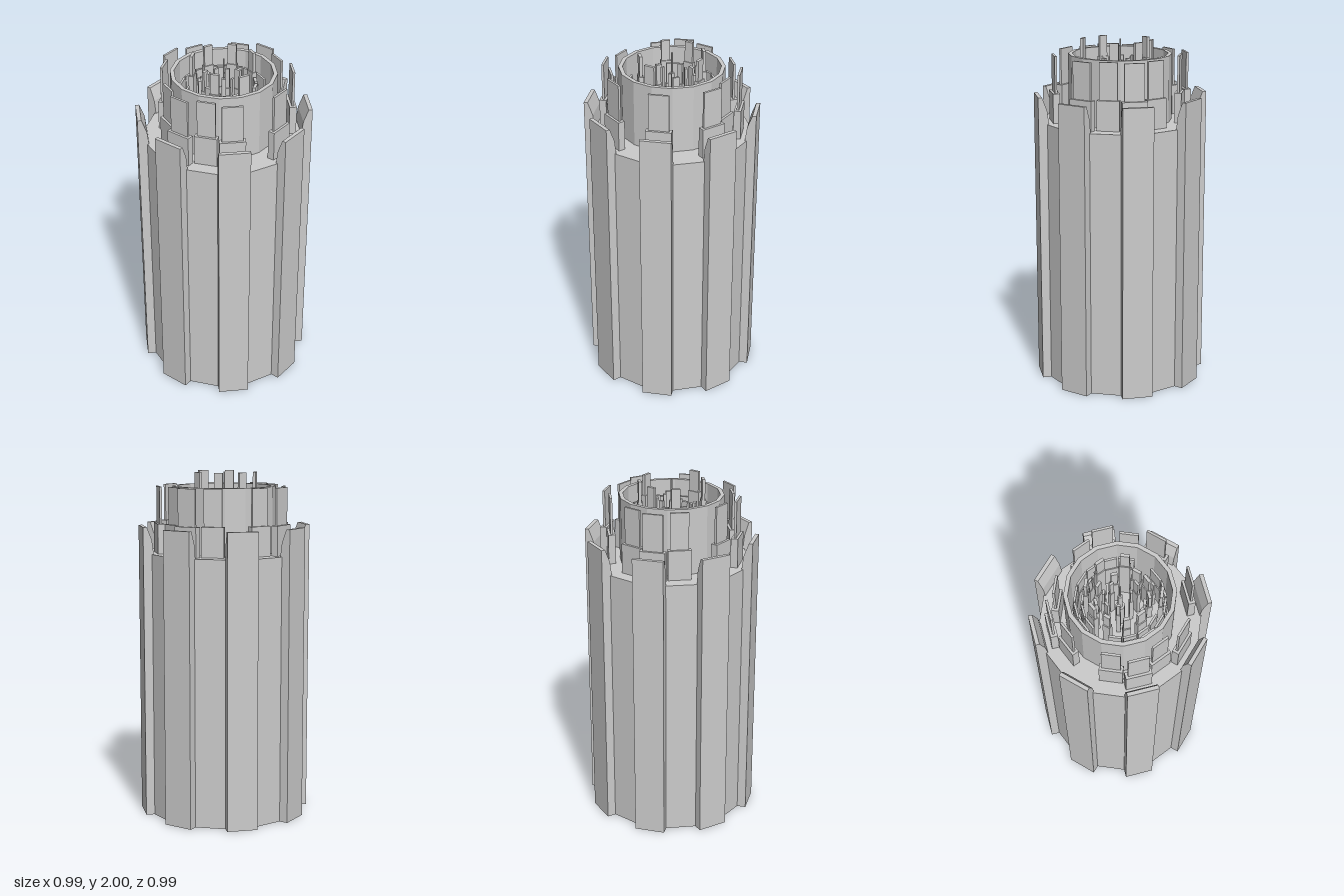
import * as THREE from 'three';

const SIDES = 16;
const STEP = (Math.PI * 2) / SIDES;
const DECK = 1.54;
const mat = new THREE.MeshStandardMaterial({ color: 0xcccccc, flatShading: true, side: THREE.DoubleSide });

const apothem = (r) => r * Math.cos(STEP / 2);
const chord = (r) => 2 * r * Math.sin(STEP / 2);

function add(parent, name, geometry) {
  const mesh = new THREE.Mesh(geometry, mat);
  mesh.name = name;
  parent.add(mesh);
  return mesh;
}

// Box standing on face k of a 16-sided ring of radius r, growing outward by t
function slab(parent, name, k, r, offset, t, width, y0, y1) {
  const g = new THREE.BoxGeometry(width, y1 - y0, t);
  g.translate(0, (y0 + y1) / 2, apothem(r) + offset + t / 2);
  add(parent, name, g).rotation.y = (k + 0.5) * STEP;
}

// Full-height outer rib with an inward bevel at its top
function rib(parent, k) {
  const a = apothem(0.447), w = chord(0.447);
  const profile = new THREE.Shape([
    [a - 0.01, 0], [a + 0.05, 0], [a + 0.05, 1.695], [a + 0.028, 1.695], [a, 1.62], [a - 0.01, 1.54],
  ].map(([x, y]) => new THREE.Vector2(x, y)));
  const g = new THREE.ExtrudeGeometry(profile, { depth: w, bevelEnabled: false });
  g.translate(0, 0, -w / 2);
  add(parent, 'outerRib', g).rotation.y = (k + 0.5) * STEP - Math.PI / 2;
}

// Low block with a narrower, taller plate rising from its middle
function steppedPanel(parent, name, k, r, t, blockTop, plateTop, wScale, plateT, plateScale) {
  const w = chord(r) * wScale;
  slab(parent, name + 'Base', k, r, 0, t, w, DECK - 0.01, blockTop);
  slab(parent, name + 'Plate', k, r, (t - plateT) / 2, plateT, w * plateScale, blockTop - 0.01, plateTop);
}

export function createModel() {
  const model = new THREE.Group();
  model.name = 'ribbedTower';

  // Main drum
  const drum = new THREE.CylinderGeometry(0.447, 0.447, DECK, SIDES);
  drum.translate(0, DECK / 2, 0);
  add(model, 'drum', drum);

  const ribs = new THREE.Group();
  ribs.name = 'outerRibs';
  model.add(ribs);
  for (let k = 0; k < SIDES; k += 2) rib(ribs, k);

  // Upright panels on the deck, alternating between two radii
  const panels = new THREE.Group();
  panels.name = 'deckPanels';
  model.add(panels);
  for (const k of [0, 2, 3, 4, 5, 7, 8, 9, 11, 12, 13, 14]) {
    steppedPanel(panels, 'deckPanel', k, k % 2 ? 0.33 : 0.368, 0.04, 1.71, 1.92, 1, 0.013, 0.8);
  }

  // Open central crown
  const wall = [[0.297, DECK - 0.01], [0.297, 1.92], [0.274, 1.92], [0.274, DECK - 0.01]];
  add(model, 'crownWall', new THREE.LatheGeometry(wall.map(([x, y]) => new THREE.Vector2(x, y)), SIDES));

  // Broken rings of thin plates inside the crown
  const core = new THREE.Group();
  core.name = 'crownCore';
  model.add(core);
  for (const k of [0, 1, 3, 4, 5, 6, 7, 8, 9, 12, 13, 14, 15]) {
    steppedPanel(core, 'wideRing', k, 0.232, 0.022, 1.72, 1.83, 1, 0.012, 0.96);
  }
  for (const k of [1, 3, 5, 6, 7, 8, 9, 11, 12, 13, 14]) {
    steppedPanel(core, 'middleRing', k, 0.195, 0.02, 1.68, 1.8, 1, 0.012, 0.94);
  }

  // Pillars: [face, radius, top]
  const pillars = [
    [7, 0.168, 2], [9, 0.168, 2], [5, 0.168, 2], [3, 0.168, 2], [13, 0.168, 2], [15, 0.208, 2],
    [1, 0.168, 1.86], [2, 0.165, 1.86], [0, 0.148, 1.8],
    [4, 0.118, 1.88], [6, 0.122, 1.88], [8, 0.12, 1.88], [10, 0.122, 1.88], [12, 0.122, 1.88],
    [14, 0.12, 1.84], [15, 0.12, 1.84],
    [1, 0.1, 1.9], [5, 0.068, 1.9], [7, 0.078, 1.9], [9, 0.078, 1.9], [11, 0.052, 1.9], [0, 0.05, 1.9],
  ];
  for (const [k, r, top] of pillars) {
    const t = r > 0.1 ? 0.028 : 0.022;
    const scale = r > 0.11 ? 0.9 : 1.1;
    steppedPanel(core, 'pillar', k, r, t, top - 0.12, top, scale, t * 0.6, 0.85);
  }

  // Stepped centre spire
  for (const [r, top] of [[0.025, 1.75], [0.013, 1.88], [0.005, 2]]) {
    const g = new THREE.CylinderGeometry(r, r, top - DECK, SIDES);
    g.translate(0, (top + DECK) / 2, 0);
    add(core, 'spire', g);
  }
  return model;
}
